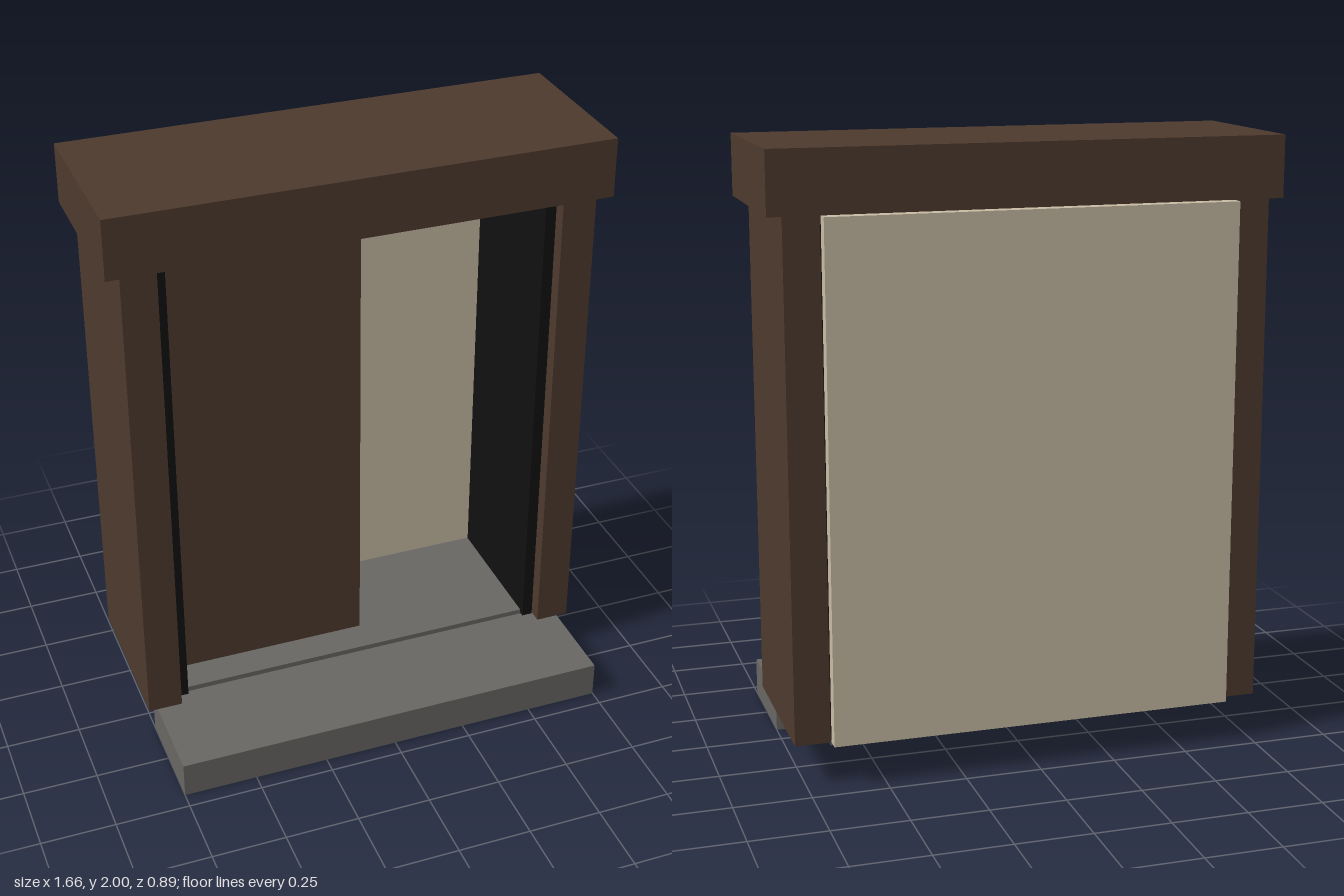
import * as THREE from 'three';

export function createModel() {
  const model = new THREE.Group();
  model.name = 'slidingDoorEntrance';

  const material = (name, color) => {
    const m = new THREE.MeshStandardMaterial({ color });
    m.name = name;
    return m;
  };
  const wood = material('dark brown wood', 0x4e3a2d);
  const plaster = material('beige plaster', 0xc8bba4);
  const stone = material('grey stone', 0x686663);
  const black = material('black trim', 0x111111);

  // Box given by its extents along each axis
  const box = (name, mat, [x0, x1], [y0, y1], [z0, z1]) => {
    const mesh = new THREE.Mesh(new THREE.BoxGeometry(x1 - x0, y1 - y0, z1 - z0), mat);
    mesh.position.set((x0 + x1) / 2, (y0 + y1) / 2, (z0 + z1) / 2);
    mesh.name = name;
    model.add(mesh);
    return mesh;
  };

  // Stone step and raised floor
  box('frontStep', stone, [-0.75, 0.75], [0, 0.125], [0.08, 0.445]);
  box('floor', stone, [-0.667, 0.667], [0.125, 0.143], [-0.402, 0.08]);

  // Side posts with black inner jambs
  for (const side of [-1, 1]) {
    const span = (a, b) => (side > 0 ? [a, b] : [-b, -a]);
    const label = side > 0 ? 'left' : 'right';
    box(label + 'Post', wood, span(0.667, 0.782), [0.135, 1.8], [-0.402, 0.148]);
    box(label + 'Jamb', black, span(0.63, 0.667), [0.13, 1.8], [-0.4, 0.1]);
  }

  // Lintel, rear wall and half-open sliding door
  box('lintel', wood, [-0.832, 0.828], [1.8, 2], [-0.402, 0.176]);
  box('backWall', plaster, [-0.665, 0.665], [0.135, 1.8], [-0.445, -0.402]);
  box('slidingDoor', wood, [-0.63, 0.05], [0.143, 1.8], [-0.08, -0.035]);

  return model;
}
